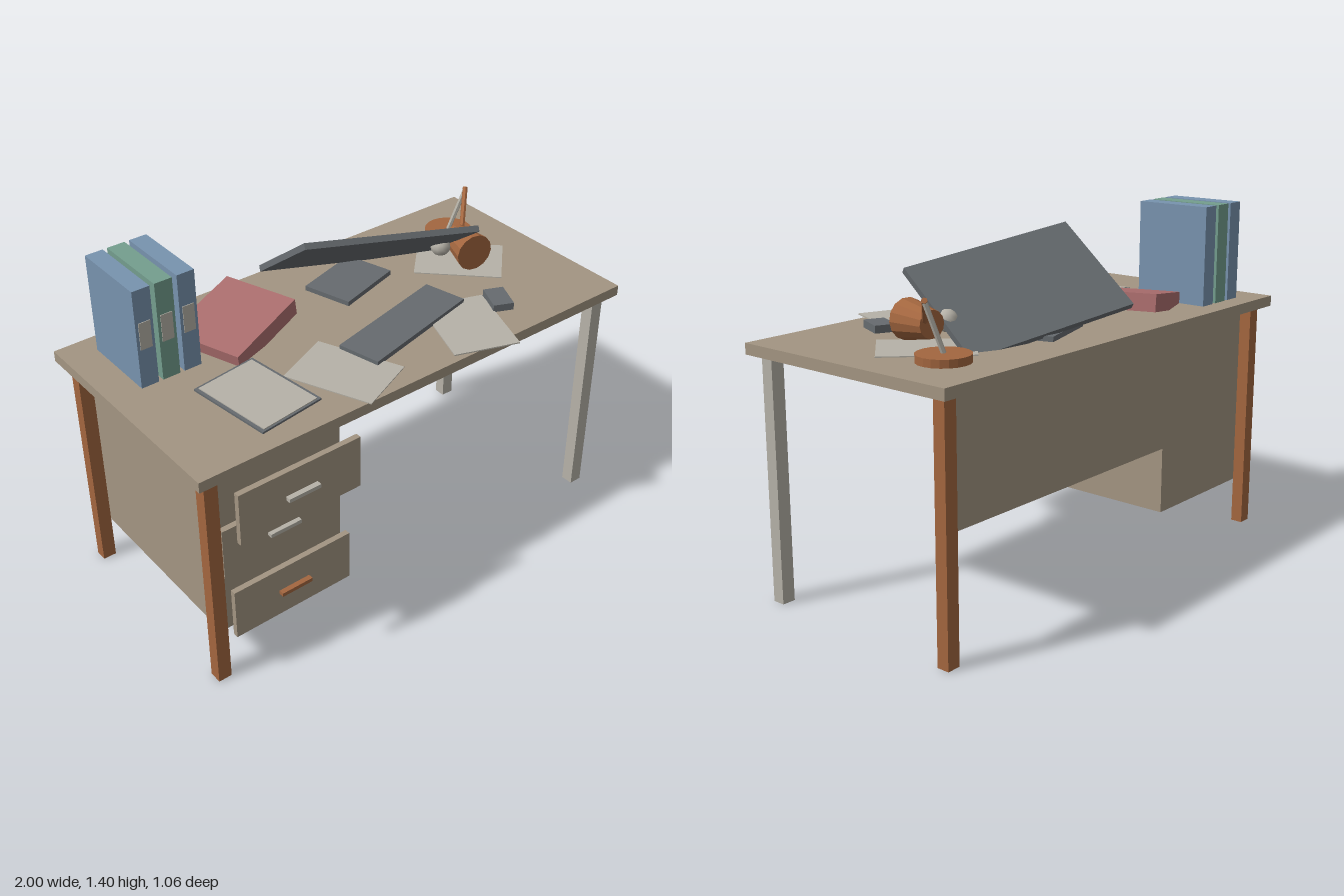
import * as THREE from 'three';

const mat = (name, hex) => {
  const m = new THREE.MeshStandardMaterial({ color: hex });
  m.name = name;
  return m;
};

export function createModel() {
  const root = new THREE.Group();
  root.name = 'desk';

  const tan = mat('tan wood', 0xa39582);
  const rust = mat('rust wood', 0xa3663f);
  const grey = mat('pale grey', 0xb6b2a8);
  const slate = mat('slate', 0x666b6f);
  const blue = mat('blue', 0x7893ae);
  const green = mat('green', 0x749e8e);
  const red = mat('red', 0xab6e6e);

  const add = (name, geo, material, parent = root) => {
    const m = new THREE.Mesh(geo, material);
    m.name = name;
    parent.add(m);
    return m;
  };
  // Box given by its limits on each axis
  const span = (name, [x0, x1], [y0, y1], [z0, z1], material) => {
    const m = add(name, new THREE.BoxGeometry(x1 - x0, y1 - y0, z1 - z0), material);
    m.position.set((x0 + x1) / 2, (y0 + y1) / 2, (z0 + z1) / 2);
    return m;
  };
  // Slab lying on the table top, turned about y
  const slab = (name, x, z, w, h, d, turn, material, y = 1) => {
    const m = add(name, new THREE.BoxGeometry(w, h, d), material);
    m.position.set(x, y + h / 2, z);
    m.rotation.y = turn;
    return m;
  };
  // Cylinder between two points
  const rod = (name, a, b, ra, rb, sides, material) => {
    const p = new THREE.Vector3(...a), q = new THREE.Vector3(...b);
    const dir = q.clone().sub(p);
    const g = new THREE.CylinderGeometry(rb, ra, dir.length(), sides).toNonIndexed();
    g.computeVertexNormals();
    const m = add(name, g, material);
    m.position.copy(p).add(q).multiplyScalar(0.5);
    m.quaternion.setFromUnitVectors(new THREE.Vector3(0, 1, 0), dir.normalize());
    return m;
  };

  // Table top, subframe, back panel and cabinet
  span('tableTop', [-1, 1], [0.957, 1], [-0.53, 0.453], tan);
  span('subframe', [-0.905, 0.905], [0.93, 0.957], [-0.445, 0.365], rust);
  span('backPanel', [-0.35, 0.905], [0.46, 0.93], [-0.44, -0.428], tan);
  span('cabinet', [-0.905, -0.35], [0.19, 0.93], [-0.44, 0.364], tan);

  // Legs; face order is +x, -x, top, bottom, front, back
  const allRust = Array(6).fill(rust);
  const front = [0.36, 0.412], back = [-0.49, -0.44];
  const leftX = [0.905, 0.96], rightX = [-0.96, -0.905];
  span('frontRightLeg', rightX, [0, 0.957], front, allRust);
  span('backRightLeg', rightX, [0, 0.957], back, allRust);
  span('frontLeftLeg', leftX, [0, 0.957], front, [grey, grey, grey, rust, grey, grey]);
  span('backLeftLeg', leftX, [0, 0.957], back, [rust, grey, rust, rust, grey, rust]);

  // Drawer fronts with handles
  [
    ['topDrawer', 0.705, 0.925, 0.51, grey],
    ['middleDrawer', 0.46, 0.68, 0.388, grey],
    ['bottomDrawer', 0.215, 0.432, 0.445, rust],
  ].forEach(([name, y0, y1, z, handle]) => {
    span(name, [-0.888, -0.37], [y0, y1], [z - 0.023, z], tan);
    const y = (y0 + y1) / 2;
    span(name + 'Handle', [-0.695, -0.56], [y - 0.008, y + 0.008], [z, z + 0.021], handle);
  });

  // Binders with spine labels
  [[-0.831, blue], [-0.741, green], [-0.65, blue]].forEach(([x, colour], i) => {
    span('binder' + (i + 1), [x - 0.036, x + 0.036], [1, 1.402], [-0.44, -0.12], colour);
    span('binderLabel' + (i + 1), [x - 0.024, x + 0.024], [1.16, 1.27], [-0.12, -0.117], grey);
  });

  // Leaning book
  const book = add('book', new THREE.BoxGeometry(0.374, 0.07, 0.322), red);
  book.position.set(-0.395, 1.038, -0.23);
  book.rotation.set(0, 0.335, 0.15, 'YXZ');

  // Clipboard and loose papers
  slab('clipboard', -0.567, 0.17, 0.28, 0.008, 0.364, 0.127, slate);
  slab('clipboardPaper', -0.567, 0.172, 0.254, 0.004, 0.344, 0.127, grey, 1.008);
  slab('paper1', -0.237, 0.248, 0.26, 0.004, 0.36, 0.41, grey);
  slab('paper2', 0.333, 0.295, 0.265, 0.005, 0.36, -0.34, grey);
  slab('paper3', 0.64, -0.1, 0.263, 0.004, 0.355, 0.79, grey);

  // Keyboard, mouse and monitor foot
  slab('keyboard', 0.133, 0.143, 0.557, 0.02, 0.18, 0.235, slate);
  slab('mouse', 0.533, 0.247, 0.083, 0.03, 0.125, -0.41, slate);
  slab('monitorFoot', 0.168, -0.24, 0.295, 0.02, 0.21, 0.29, slate);

  // Monitor panel tipped forward
  const u = new THREE.Vector3(0.735, -0.105, 0.16).normalize();
  const n = u.clone().cross(new THREE.Vector3(-0.05, 0.275, 0.36)).normalize();
  const v = n.clone().cross(u);
  const monitor = add('monitor', new THREE.BoxGeometry(0.755, 0.455, 0.025), slate);
  monitor.quaternion.setFromRotationMatrix(new THREE.Matrix4().makeBasis(u, v, n));
  monitor.position.set(0.222, 1.163, -0.18);

  // Desk lamp
  rod('lampBase', [0.745, 1, -0.285], [0.745, 1.03, -0.285], 0.1, 0.1, 20, rust);
  rod('lampLowerArm', [0.745, 1.03, -0.285], [0.8, 1.21, -0.253], 0.01, 0.01, 6, grey);
  rod('lampUpperArm', [0.805, 1.215, -0.258], [0.655, 1.09, -0.11], 0.011, 0.011, 6, rust);
  rod('lampHead', [0.65, 1.092, -0.14], [0.62, 1.088, 0.01], 0.052, 0.078, 14, rust);
  const bulb = add('lampBulb', new THREE.SphereGeometry(0.042, 12, 8), grey);
  bulb.position.set(0.552, 1.088, -0.12);

  return root;
}
